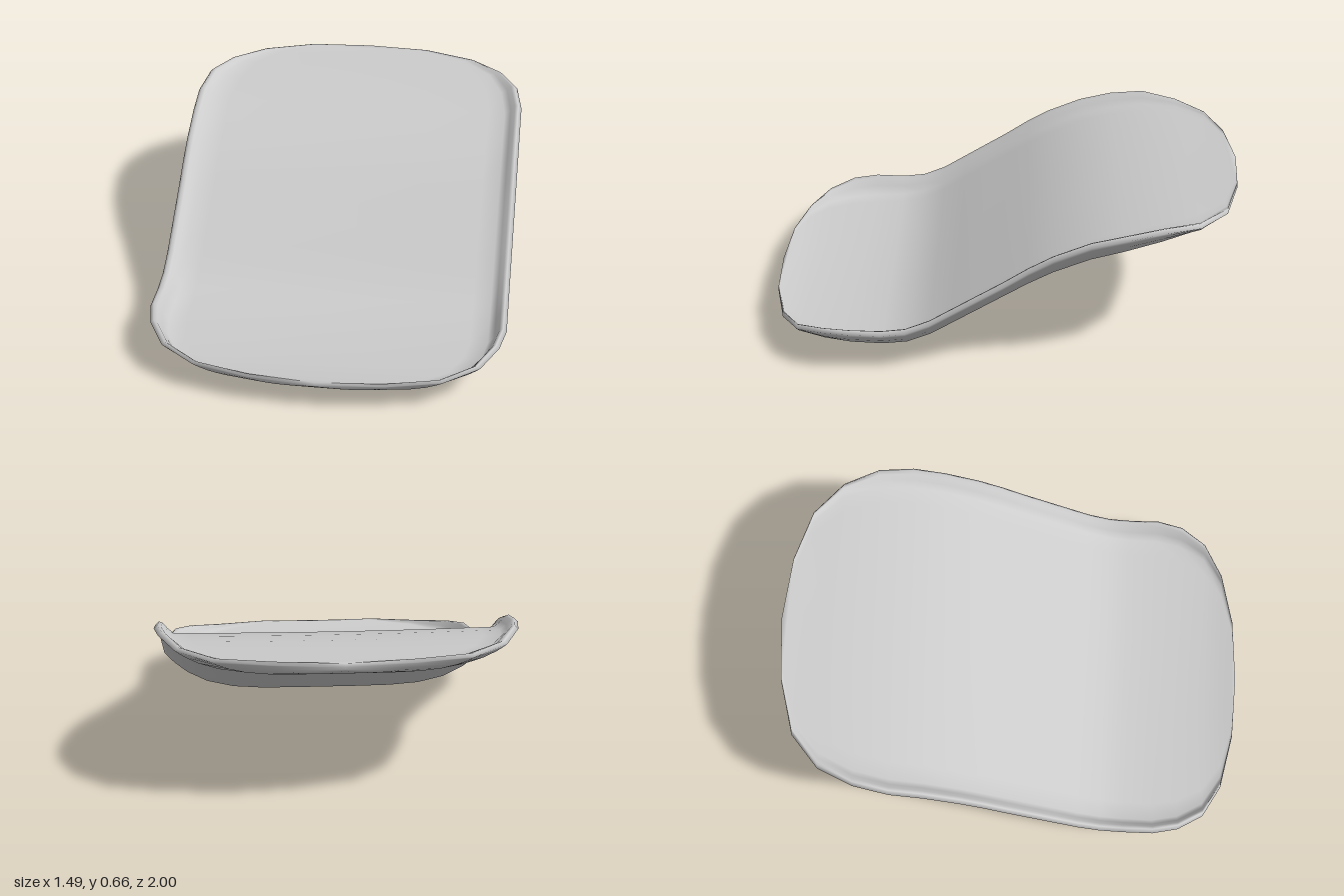
import * as THREE from 'three';
import { mergeVertices } from 'three/addons/utils/BufferGeometryUtils.js';

// Stations from front to back: z, half width, rim height, floor height, underside height
const STATIONS = [
  [0.995, 0, 0.14, 0.14, 0.12],
  [0.98, 0.28, 0.148, 0.143, 0.105],
  [0.93, 0.51, 0.152, 0.13, 0.08],
  [0.85, 0.65, 0.175, 0.12, 0.052],
  [0.74, 0.72, 0.2, 0.115, 0.028],
  [0.63, 0.745, 0.205, 0.115, 0.012],
  [0.5, 0.745, 0.2, 0.12, 0.003],
  [0.4, 0.745, 0.21, 0.14, 0.012],
  [0.3, 0.745, 0.25, 0.185, 0.05],
  [0.2, 0.745, 0.31, 0.25, 0.11],
  [0.1, 0.745, 0.37, 0.31, 0.17],
  [0, 0.745, 0.43, 0.37, 0.23],
  [-0.1, 0.745, 0.495, 0.43, 0.285],
  [-0.2, 0.745, 0.55, 0.485, 0.335],
  [-0.35, 0.745, 0.61, 0.55, 0.395],
  [-0.49, 0.745, 0.642, 0.585, 0.437],
  [-0.64, 0.72, 0.663, 0.615, 0.485],
  [-0.79, 0.65, 0.652, 0.63, 0.537],
  [-0.91, 0.51, 0.648, 0.64, 0.575],
  [-0.975, 0.28, 0.654, 0.648, 0.6],
  [-1, 0, 0.65, 0.65, 0.62],
];

// Fractions of the half width sampled from the middle to the rim
const TOP = [0, 0.3, 0.6, 0.8, 0.9, 0.935, 0.96, 0.98];
const BOTTOM = [0, 0.2, 0.4, 0.58, 0.74, 0.86, 0.94, 0.98];
const mirrored = (list) => [...list.slice(1).reverse(), ...list.map((u) => -u)];

// One closed cross-section: outer edge, dished top, outer edge, rounded underside
function section([z, w, rim, floor, under]) {
  const edge = Math.max(rim - 0.015, under);
  const topY = (u) => floor + (rim - floor) *
    (0.85 * THREE.MathUtils.smoothstep(Math.abs(u), 0.9, 0.975) + 0.15 * u * u);
  const bottomY = (u) => under + (edge - under) * Math.abs(u) ** 5;
  return [
    [w, edge, z],
    ...mirrored(TOP).map((u) => [w * u, topY(u), z]),
    [-w, edge, z],
    ...mirrored(BOTTOM).map((u) => [-w * u, bottomY(u), z]),
  ];
}

// Skin a row of closed sections
function loft(sections) {
  const n = sections[0].length;
  const index = [];
  for (let i = 0; i < sections.length - 1; i++) {
    for (let j = 0; j < n; j++) {
      const a = i * n + j, b = i * n + ((j + 1) % n);
      index.push(a, a + n, b, b, a + n, b + n);
    }
  }
  const geometry = new THREE.BufferGeometry();
  geometry.setAttribute('position', new THREE.Float32BufferAttribute(sections.flat(2), 3));
  geometry.setIndex(index);
  const welded = mergeVertices(geometry, 1e-4);
  welded.computeVertexNormals();
  return welded;
}

export function createModel() {
  const group = new THREE.Group();
  group.name = 'curvedSeat';
  // Seat pad with a raised rim and an S-shaped side profile
  const pad = new THREE.Mesh(
    loft(STATIONS.map(section)),
    new THREE.MeshStandardMaterial({ color: 0xcccccc, side: THREE.DoubleSide })
  );
  pad.name = 'seatPad';
  group.add(pad);
  return group;
}
